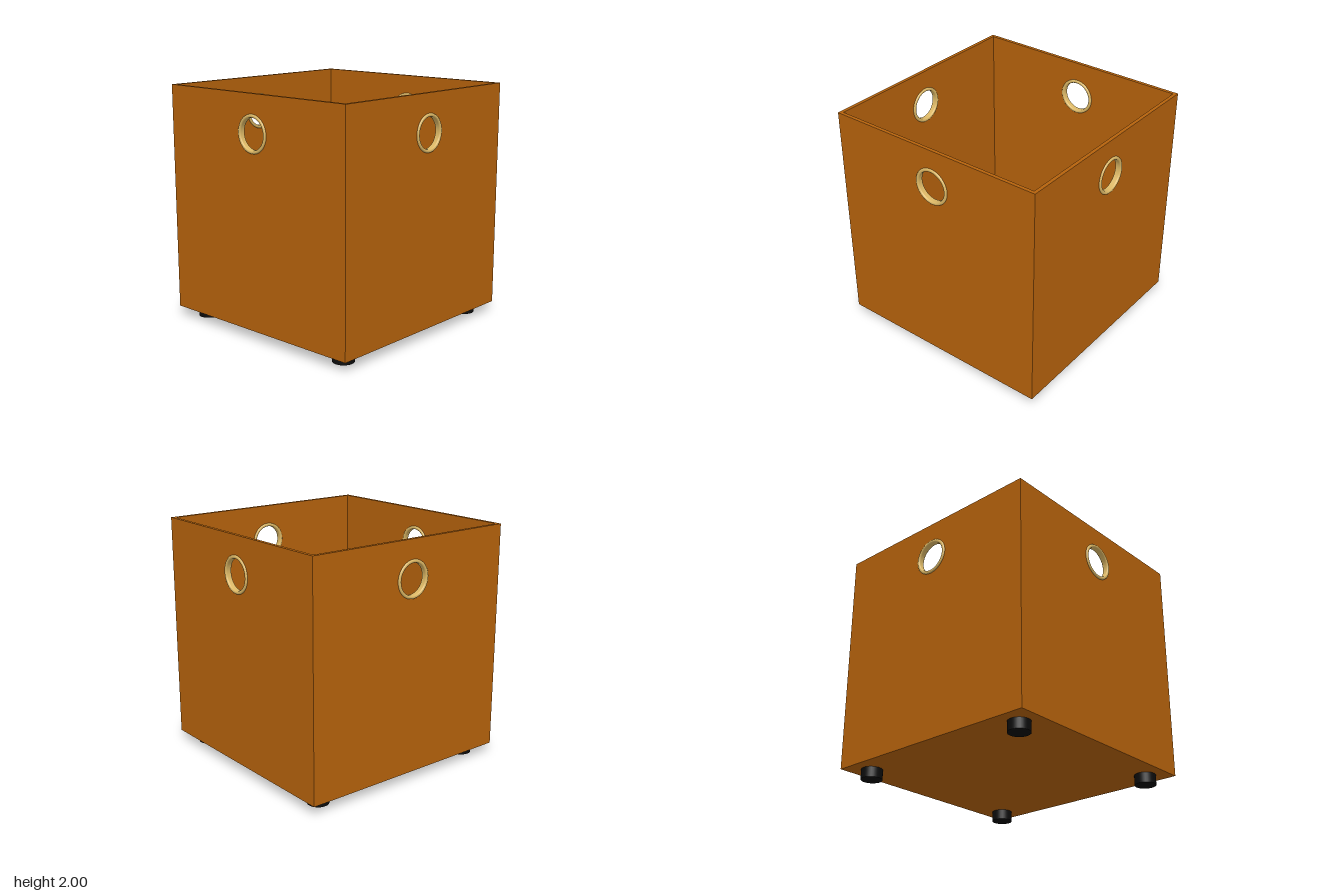
import * as THREE from 'three';

const HALF = 0.963, WALL = 0.03, BASE = 0.085, TOP = 2;
const HOLE_Y = 1.687, RING_IN = 0.127, RING_OUT = 0.155, RING_HALF = 0.027;

// Wall panel with a round hand hole; the four overlap pinwheel fashion at the corners
function wallGeometry() {
  const s = new THREE.Shape();
  s.moveTo(-HALF, BASE);
  s.lineTo(HALF - WALL, BASE);
  s.lineTo(HALF - WALL, TOP);
  s.lineTo(-HALF, TOP);
  s.closePath();
  const hole = new THREE.Path();
  hole.absarc(0, HOLE_Y, 0.14, 0, Math.PI * 2, true);
  s.holes.push(hole);
  const g = new THREE.ExtrudeGeometry(s, { depth: WALL, bevelEnabled: false, curveSegments: 32 });
  return g.translate(0, 0, HALF - WALL);
}

// Grommet: a rounded-rectangle section turned about the hole's axis
function grommetGeometry() {
  const r = 0.012, pts = [];
  const corners = [
    [RING_OUT - r, -RING_HALF + r, -90], [RING_OUT - r, RING_HALF - r, 0],
    [RING_IN + r, RING_HALF - r, 90], [RING_IN + r, -RING_HALF + r, 180],
  ];
  for (const [cx, cy, start] of corners) {
    for (let i = 0; i <= 5; i++) {
      const a = THREE.MathUtils.degToRad(start + i * 18);
      pts.push(new THREE.Vector2(cx + r * Math.cos(a), cy + r * Math.sin(a)));
    }
  }
  pts.push(pts[0].clone());
  return new THREE.LatheGeometry(pts, 48).rotateX(Math.PI / 2);
}

export function createModel() {
  const model = new THREE.Group();
  model.name = 'storageBin';
  const orange = new THREE.MeshStandardMaterial({ color: 0xb5620c });
  const brass = new THREE.MeshStandardMaterial({ color: 0xdcb866 });
  const black = new THREE.MeshStandardMaterial({ color: 0x0c0c0c });

  const add = (parent, name, geometry, material, x = 0, y = 0, z = 0) => {
    const mesh = new THREE.Mesh(geometry, material);
    mesh.name = name;
    mesh.position.set(x, y, z);
    parent.add(mesh);
  };

  // Four sides, each with its grommet
  const wall = wallGeometry(), grommet = grommetGeometry();
  ['front', 'left', 'back', 'right'].forEach((side, i) => {
    const g = new THREE.Group();
    g.name = side + 'Side';
    g.rotation.y = i * Math.PI / 2;
    add(g, side + 'Wall', wall, orange);
    add(g, side + 'Grommet', grommet, brass, 0, HOLE_Y, HALF - WALL / 2);
    model.add(g);
  });

  // Floor between the walls
  const inner = 2 * (HALF - WALL);
  add(model, 'floor', new THREE.BoxGeometry(inner, WALL, inner), orange, 0, BASE + WALL / 2, 0);

  // Round feet near the corners
  const foot = new THREE.CylinderGeometry(0.088, 0.088, BASE, 32);
  for (const x of [-1, 1]) {
    for (const z of [-1, 1]) {
      add(model, (z > 0 ? 'front' : 'back') + (x > 0 ? 'Left' : 'Right') + 'Foot',
        foot, black, x * 0.785, BASE / 2, z * 0.785);
    }
  }
  return model;
}
